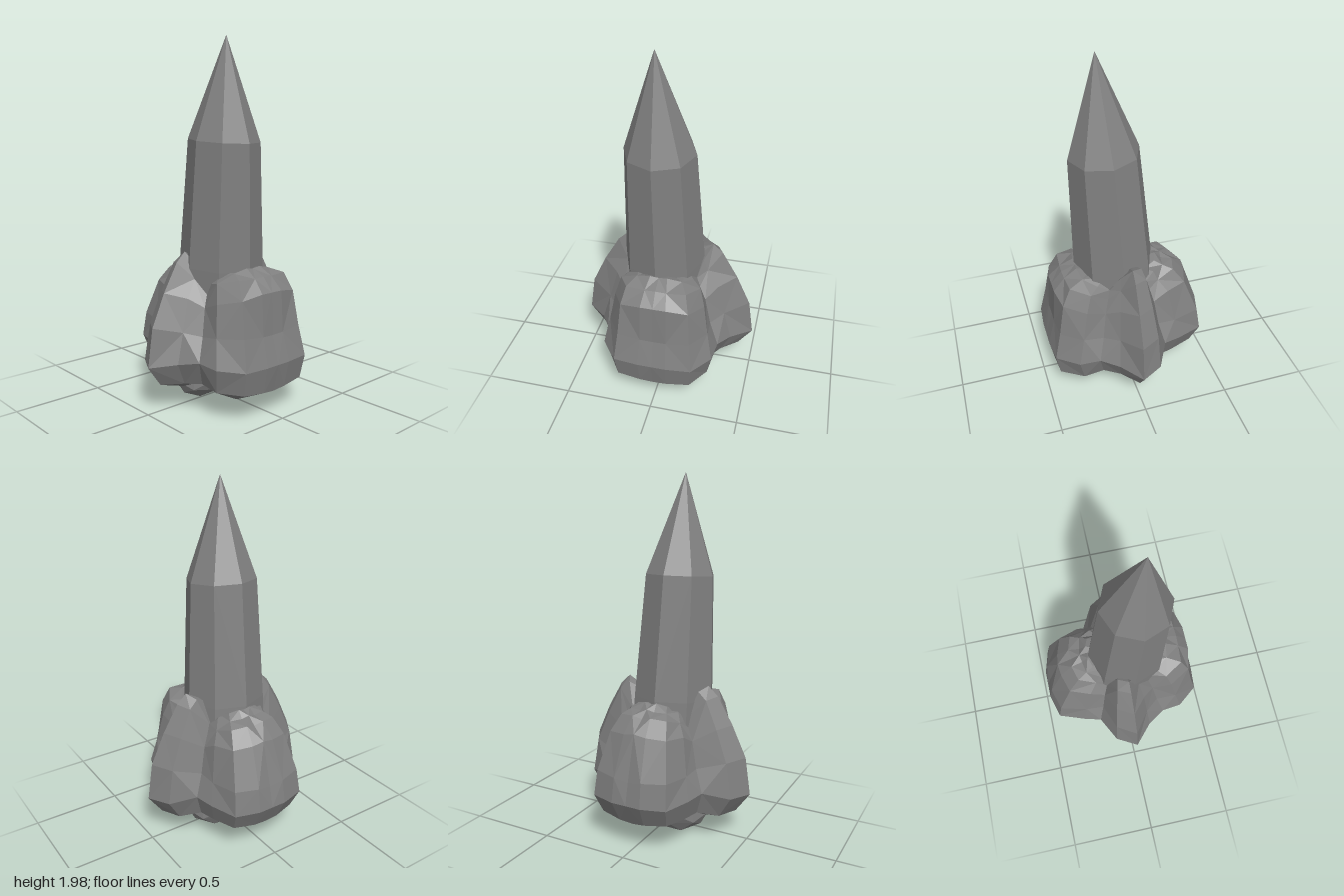
import * as THREE from 'three';

// Skin a stack of closed rings (listed top to bottom) with flat triangles.
function loft(rings) {
  const pos = [];
  const n = rings[0].length;
  const tri = (a, b, c) => {
    const area = b.clone().sub(a).cross(c.clone().sub(a)).length();
    if (area > 1e-8) pos.push(...a.toArray(), ...b.toArray(), ...c.toArray());
  };
  for (let i = 0; i < rings.length - 1; i++) {
    for (let j = 0; j < n; j++) {
      const k = (j + 1) % n;
      const a = rings[i][j], b = rings[i][k], c = rings[i + 1][j], d = rings[i + 1][k];
      if ((i + j) % 2) { tri(a, b, c); tri(b, d, c); }
      else { tri(a, b, d); tri(a, d, c); }
    }
  }
  const g = new THREE.BufferGeometry();
  g.setAttribute('position', new THREE.Float32BufferAttribute(pos, 3));
  g.computeVertexNormals();
  return g;
}

// Lobe profiles, top to bottom: [share of full radius, height]
const LEFT = [[0.4, 0.77], [0.58, 0.78], [0.76, 0.755], [0.88, 0.67], [0.92, 0.46], [1, 0.3], [0.94, 0.16], [0.7, 0.11], [0.3, 0.12]];
const FRONT = [[0.25, 0.8], [0.5, 0.87], [0.6, 0.81], [0.79, 0.67], [0.93, 0.48], [1, 0.28], [0.83, 0.16], [0.54, 0.13], [0.3, 0.11]];
const RIGHT = [[0.4, 0.78], [0.5, 0.76], [0.62, 0.73], [0.79, 0.66], [0.95, 0.43], [1, 0.3], [0.87, 0.18], [0.55, 0.14], [0.3, 0.12]];
const VALLEY = [[0.4, 0.72], [0.55, 0.7], [0.62, 0.66], [0.72, 0.58], [0.85, 0.45], [1, 0.32], [0.88, 0.2], [0.6, 0.16], [0.3, 0.13]];

// Widest outline of the front half: [x, z, lobe profile, blend towards valley]
const HALF = [
  [0.467, 0, LEFT, 0], [0.467, 0.08, LEFT, 0], [0.455, 0.22, LEFT, 0.1],
  [0.335, 0.315, LEFT, 0.4], [0.22, 0.33, VALLEY, 0], [0.12, 0.39, FRONT, 0.5],
  [0.015, 0.505, FRONT, 0], [-0.105, 0.44, FRONT, 0.1], [-0.18, 0.305, VALLEY, 0],
  [-0.28, 0.275, RIGHT, 0.4], [-0.43, 0.22, RIGHT, 0.1], [-0.467, 0.085, RIGHT, 0],
  [-0.467, 0, RIGHT, 0],
];

function lobedGeometry() {
  const back = HALF.slice(1, -1).reverse().map(([x, z, p, b]) => [x, -z, p, b]);
  const columns = [...HALF, ...back];
  const rings = LEFT.map((_, i) => columns.map(([x, z, p, b], j) => {
    const s = THREE.MathUtils.lerp(p[i][0], VALLEY[i][0], b);
    const y = THREE.MathUtils.lerp(p[i][1], VALLEY[i][1], b);
    // small uneven facets, equal front and back
    const m = Math.min(j, columns.length - j);
    const wobble = i === 5 ? 0 : 0.012 * Math.sin(m * 4.7 + i * 2.9);
    return new THREE.Vector3(x * (s + wobble), y + wobble * 0.8, z * (s + wobble));
  }));
  const point = (y) => columns.map(() => new THREE.Vector3(0, y, 0));
  return loft([point(0.74), ...rings, point(0.11)]);
}

// Eight-sided leaning spike
function spikeGeometry() {
  const ring = (x, y, z, r) => Array.from({ length: 8 }, (_, i) => {
    const a = i * Math.PI / 4;
    const c = Math.cos(a);
    return new THREE.Vector3(x + r * c, r ? y - 0.015 * c : y, z + r * Math.sin(a));
  });
  return loft([
    ring(0.115, 2, 0.05, 0),
    ring(0.083, 1.455, 0.035, 0.195),
    ring(0.043, 0.78, 0.02, 0.23),
    ring(0.03, 0.5, 0.01, 0.235),
    ring(0.03, 0.5, 0.01, 0),
  ]);
}

// Lumpy foot under the lobes
function footGeometry() {
  const g = new THREE.IcosahedronGeometry(1, 1);
  const p = g.attributes.position;
  for (let i = 0; i < p.count; i++) {
    const x = p.getX(i), y = p.getY(i), z = p.getZ(i);
    const lift = y < 0 ? 0.025 * (1 - Math.min(1, Math.abs(z) * 2)) : 0;
    p.setXYZ(i, -0.03 + 0.14 * x - 0.02 * (y < -0.8), Math.max(0, 0.135 + 0.14 * y + lift), 0.27 * z);
  }
  g.computeVertexNormals();
  return g;
}

export function createModel() {
  const stone = new THREE.MeshStandardMaterial({ color: 0x808080, flatShading: true });
  stone.name = 'grey stone';
  const model = new THREE.Group();
  model.name = 'stoneSpike';
  const parts = { spike: spikeGeometry(), lobedBase: lobedGeometry(), foot: footGeometry() };
  for (const [name, geometry] of Object.entries(parts)) {
    const mesh = new THREE.Mesh(geometry, stone);
    mesh.name = name;
    model.add(mesh);
  }
  return model;
}
